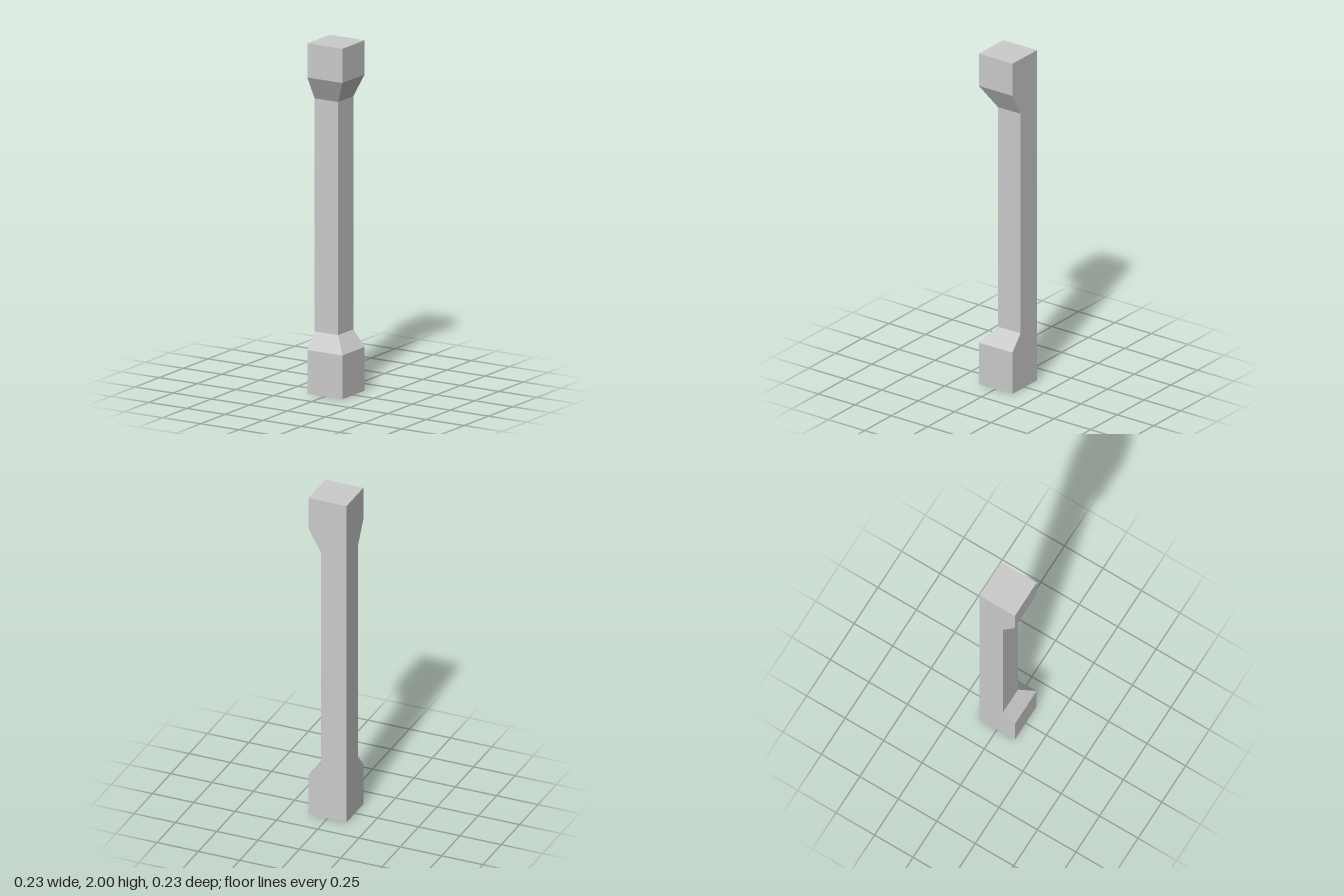
import * as THREE from 'three';

// Heights of the cross-sections and the position of the two inset faces (+x and +z) at each
const SECTIONS = [
  [0, 0.115],
  [0.25, 0.115],
  [0.34, 0.04],
  [1.67, 0.04],
  [1.805, 0.115],
  [2, 0.115],
];
const HALF = 0.115;

export function createModel() {
  const group = new THREE.Group();
  group.name = 'cornerPost';

  // Square post: the back and the -x side stay straight, the other two narrow along the shaft
  const steps = SECTIONS.length - 1;
  const box = new THREE.BoxGeometry(2 * HALF, 2, 2 * HALF, 1, steps, 1);
  const pos = box.attributes.position;
  for (let i = 0; i < pos.count; i++) {
    const [y, outer] = SECTIONS[Math.round((pos.getY(i) / 2 + 0.5) * steps)];
    pos.setXYZ(i, pos.getX(i) > 0 ? outer : -HALF, y, pos.getZ(i) > 0 ? outer : -HALF);
  }
  const geometry = box.toNonIndexed();
  geometry.computeVertexNormals();

  const post = new THREE.Mesh(
    geometry,
    new THREE.MeshStandardMaterial({ color: 0xcccccc, flatShading: true })
  );
  post.name = 'post';
  group.add(post);
  return group;
}
